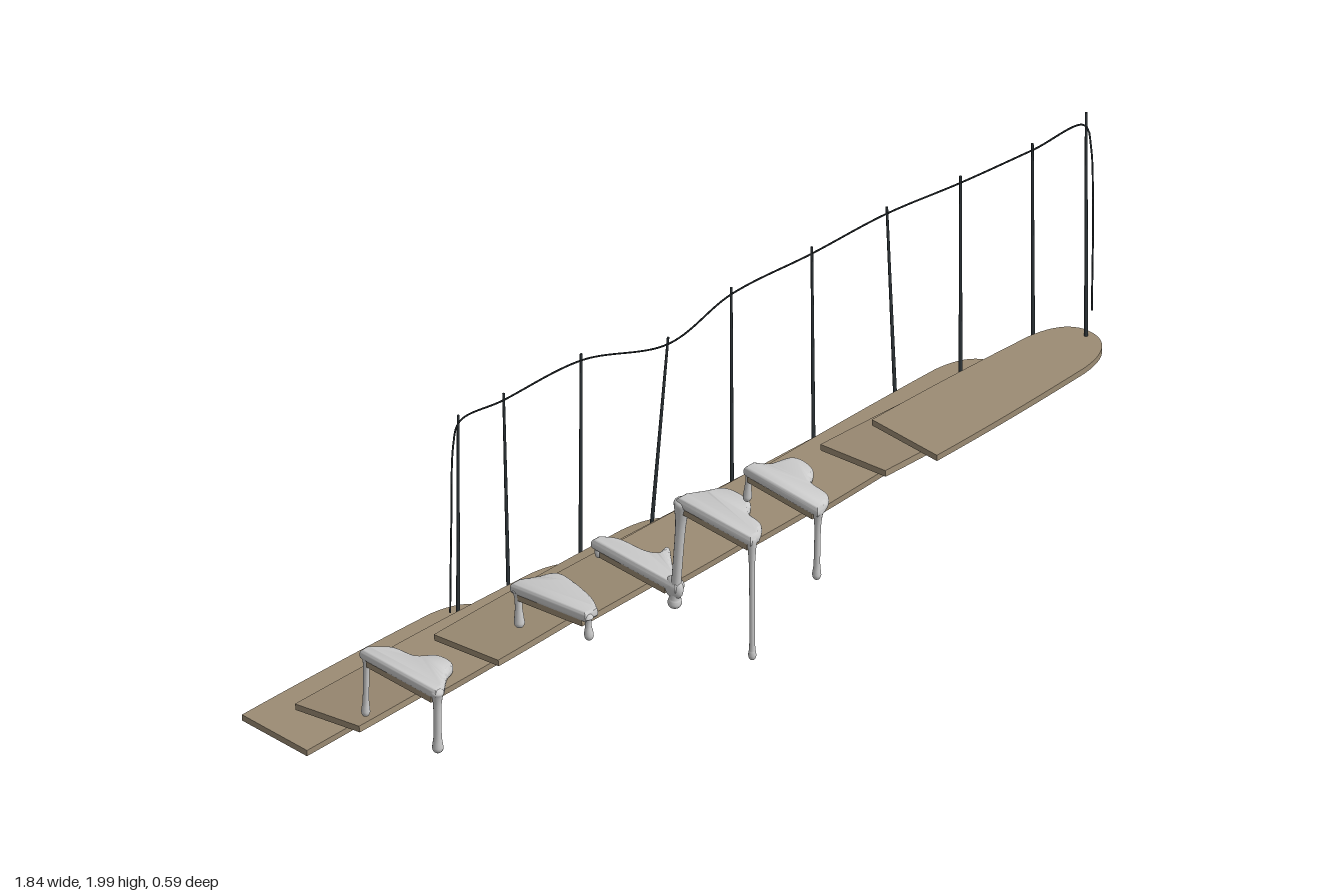
import * as THREE from 'three';
import { toCreasedNormals } from 'three/addons/utils/BufferGeometryUtils.js';

const wood = new THREE.MeshStandardMaterial({ color: 0x9c8c74 });
const iron = new THREE.MeshStandardMaterial({ color: 0x30373b });
const grey = new THREE.MeshStandardMaterial({ color: 0xcccccc });
const V = (x, y, z) => new THREE.Vector3(x, y, z);
const FRONT = 0.29, THICK = 0.013;

function add(parent, name, geometry, material) {
  const mesh = new THREE.Mesh(geometry, material);
  mesh.name = name;
  parent.add(mesh);
  return mesh;
}

// Plank with a square front end and a rounded back end
function plankGeometry(back) {
  const w = 0.086, s = new THREE.Shape();
  s.moveTo(-w, -FRONT);
  s.lineTo(w, -FRONT);
  s.bezierCurveTo(w, -0.1, w - 0.006, back - 0.2, w - 0.011, back - 0.095);
  s.bezierCurveTo(w - 0.018, back - 0.03, 0.04, back, 0, back);
  s.bezierCurveTo(-0.04, back, -w + 0.018, back - 0.03, -w + 0.011, back - 0.095);
  s.bezierCurveTo(-w + 0.006, back - 0.2, -w, -0.1, -w, -FRONT);
  const g = new THREE.ExtrudeGeometry(s, { depth: THICK, bevelEnabled: false, curveSegments: 12 });
  g.rotateX(-Math.PI / 2).translate(0, -THICK / 2, 0);
  return toCreasedNormals(g, 0.6);
}

// Soft slab lying on the plank's front edge; edge lists [x, z] along its wavy back
function slabGeometry(edge, cx) {
  const s = new THREE.Shape();
  const pts = edge.map(([x, z]) => new THREE.Vector2(x - cx, -z));
  s.moveTo(pts[0].x, -0.288);
  s.lineTo(pts[0].x, pts[0].y);
  s.splineThru(pts.slice(1));
  s.lineTo(pts[pts.length - 1].x, -0.288);
  const g = new THREE.ExtrudeGeometry(s, {
    depth: 0.008, bevelThickness: 0.008, bevelSize: 0.008, bevelOffset: -0.003,
    bevelSegments: 4, curveSegments: 24,
  });
  g.rotateX(-Math.PI / 2).translate(0, THICK / 2 + 0.006, 0);
  return toCreasedNormals(g, 0.9);
}

// Hanging drip: wide at the top, thin in the middle, a bead at the bottom
function dripGeometry(top, bottom, k) {
  const h = top - bottom;
  const profile = [
    [0, 0], [0.006, 0.002], [0.009, 0.009], [0.0085, 0.018], [0.0065, Math.min(0.04, h * 0.5)],
    [0.0065, h * 0.7], [0.009, h * 0.88], [0.011, h - 0.008], [0.006, h - 0.001], [0, h],
  ].map(([r, y]) => new THREE.Vector2(r * k, y));
  return new THREE.LatheGeometry(new THREE.SplineCurve(profile).getPoints(30)
    .map((p) => p.set(Math.max(p.x, 0), p.y)), 14);
}

// Treads: centre x, y, roll, pitch, back end
const TREADS = [
  [-0.835, 0.04, 0, 0, 0.295],
  [-0.695, 0.145, 0.17, 0, 0.295],
  [-0.507, 0.315, 0, 0, 0.235],
  [-0.328, 0.475, 0.13, 0.015, 0.295],
  [-0.108, 0.662, 0.13, -0.006, 0.295],
  [0.11, 0.852, 0, 0, 0.235],
  [0.328, 1.052, 0, 0, 0.295],
  [0.5, 1.213, -0.02, 0.03, 0.295],
  [0.694, 1.37, 0.12, -0.035, 0.235],
  [0.83, 1.49, 0, 0, 0.21],
];

// Slabs by tread index
const SLABS = {
  2: [[-0.602, 0.275], [-0.57, 0.245], [-0.52, 0.235], [-0.49, 0.205], [-0.455, 0.205], [-0.44, 0.235], [-0.412, 0.27]],
  4: [[-0.203, 0.27], [-0.185, 0.245], [-0.165, 0.212], [-0.12, 0.217], [-0.05, 0.24], [-0.013, 0.262]],
  5: [[0.01, 0.275], [0.04, 0.256], [0.1, 0.25], [0.128, 0.235], [0.125, 0.212], [0.145, 0.228], [0.18, 0.255], [0.222, 0.272]],
  6: [[0.235, 0.27], [0.252, 0.24], [0.275, 0.205], [0.33, 0.205], [0.358, 0.235], [0.4, 0.245], [0.421, 0.27]],
  7: [[0.413, 0.27], [0.438, 0.25], [0.455, 0.207], [0.5, 0.208], [0.528, 0.24], [0.58, 0.248], [0.598, 0.275]],
};

// Drips: x at top, x at bottom, top y, bottom y, thickness
const DRIPS = [
  [-0.599, -0.602, 0.341, 0.19, 0.95], [-0.413, -0.411, 0.341, 0.198, 1.2],
  [-0.2, -0.195, 0.672, 0.582, 1.15], [-0.015, -0.011, 0.697, 0.64, 1],
  [0.014, 0.014, 0.872, 0.838, 0.85], [0.236, 0.214, 1.075, 0.82, 1.5],
  [0.419, 0.42, 1.076, 0.798, 0.85],
  [0.413, 0.406, 1.23, 1.15, 0.95], [0.594, 0.59, 1.224, 1.06, 0.95],
];

// Posts: base x, base y, top x, top y, top z
const POSTS = [
  [-0.83, 0.01, -0.83, 0.535, -0.195], [-0.695, 0.135, -0.695, 0.655, -0.18],
  [-0.507, 0.3, -0.507, 0.825, -0.197], [-0.325, 0.46, -0.272, 0.975, -0.192],
  [-0.106, 0.64, -0.106, 1.165, -0.193], [0.11, 0.84, 0.11, 1.36, -0.19],
  [0.33, 1.03, 0.315, 1.55, -0.183], [0.498, 1.18, 0.498, 1.7, -0.195],
  [0.69, 1.34, 0.69, 1.865, -0.193], [0.83, 1.47, 0.83, 2.0, -0.195],
];

export function createModel() {
  const model = new THREE.Group();
  model.name = 'staircase';

  // Floating treads, some with a drooping slab
  TREADS.forEach(([x, y, roll, pitch, back], i) => {
    const step = new THREE.Group();
    step.name = 'step';
    step.position.set(x, y, 0);
    step.rotation.set(pitch, 0, roll);
    add(step, 'tread', plankGeometry(back), wood);
    if (SLABS[i]) add(step, 'meltedSlab', slabGeometry(SLABS[i], x), grey);
    model.add(step);
  });

  // Drips running over the front corners
  for (const [xt, xb, top, bottom, k] of DRIPS) {
    const drip = add(model, 'drip', dripGeometry(top, bottom, k), grey);
    drip.position.set(xb, bottom, 0.282);
    drip.rotation.z = Math.atan2(xb - xt, top - bottom);
  }
  // Foot of the long drip spreading onto the slab below it
  const foot = add(model, 'dripFoot', new THREE.SphereGeometry(1, 20, 14), grey);
  foot.scale.set(0.022, 0.024, 0.013);
  foot.position.set(0.212, 0.863, 0.281);

  // Thin posts with a small base collar
  for (const [bx, by, tx, ty, tz] of POSTS) {
    const a = V(bx, by, -0.195), b = V(tx, ty, tz);
    const dir = b.clone().sub(a);
    const post = add(model, 'post', new THREE.CylinderGeometry(0.0025, 0.004, dir.length(), 10), iron);
    post.position.copy(a).lerp(b, 0.5);
    post.quaternion.setFromUnitVectors(V(0, 1, 0), dir.normalize());
  }

  // Wire handrail through the post tops, hanging down at both ends
  const tops = POSTS.slice(1, -1).map(([, , x, y, z]) => V(x, y - 0.015, z));
  const path = new THREE.CatmullRomCurve3([
    V(-0.851, 0.08, -0.195), V(-0.85, 0.28, -0.197), V(-0.844, 0.46, -0.196), V(-0.828, 0.52, -0.195),
    ...tops,
    V(0.83, 1.97, -0.195), V(0.845, 1.93, -0.193), V(0.853, 1.8, -0.19), V(0.855, 1.57, -0.185),
  ], false, 'centripetal');
  add(model, 'handrail', new THREE.TubeGeometry(path, 220, 0.0018, 8), iron);

  return model;
}
